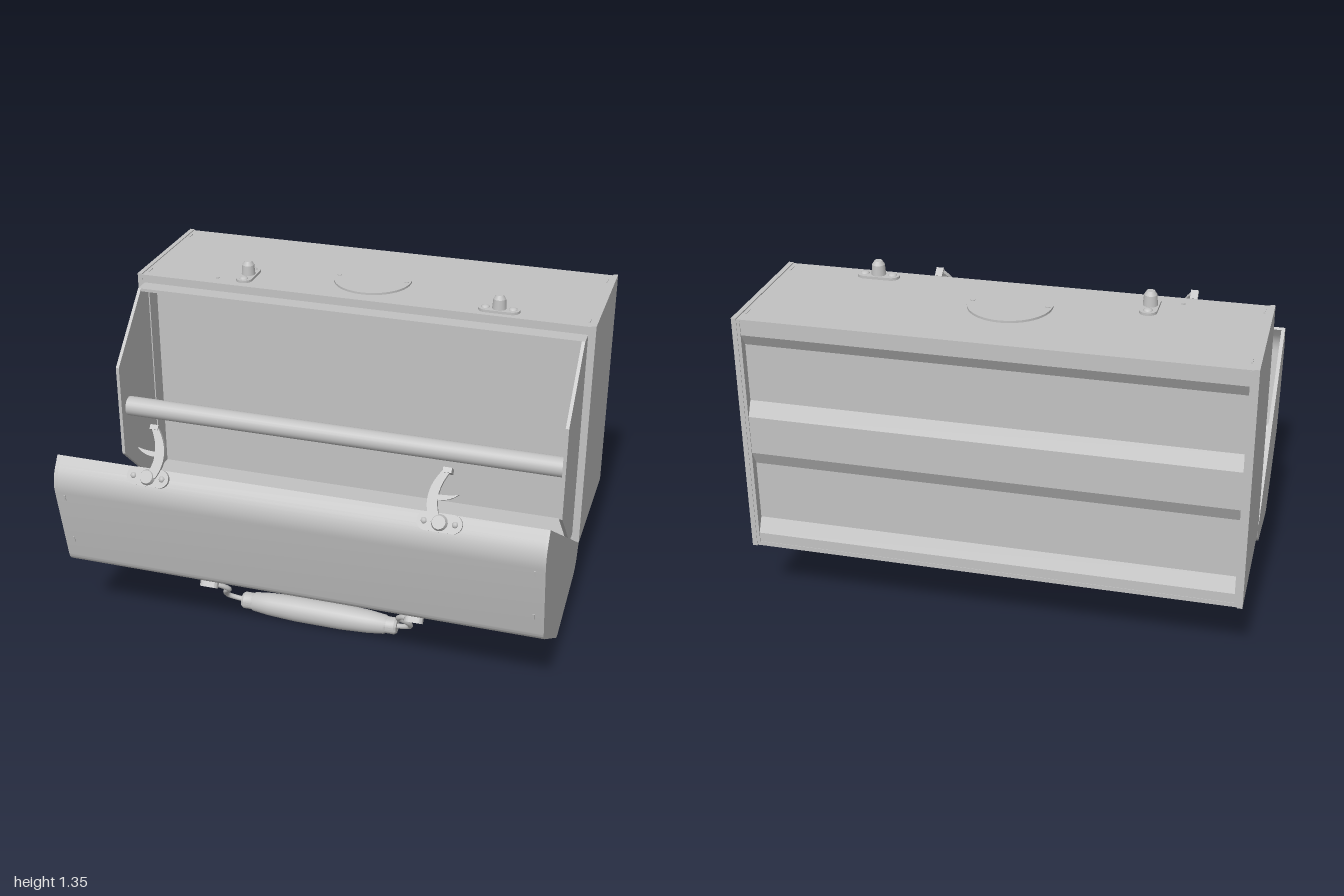
import * as THREE from 'three';
import { toCreasedNormals } from 'three/addons/utils/BufferGeometryUtils.js';

const steel = new THREE.MeshStandardMaterial({ color: 0xc2c2c2 });
steel.name = 'grey steel';

function add(parent, name, geo, x = 0, y = 0, z = 0) {
  const m = new THREE.Mesh(geo, steel);
  m.name = name;
  m.position.set(x, y, z);
  parent.add(m);
  return m;
}

// axis-aligned plate given by its extents
function plate(parent, name, [x0, x1], [y0, y1], [z0, z1]) {
  return add(parent, name, new THREE.BoxGeometry(x1 - x0, y1 - y0, z1 - z0),
    (x0 + x1) / 2, (y0 + y1) / 2, (z0 + z1) / 2);
}

// profile of [z, y] points extruded along x
function extrudeX(pts, x0, x1) {
  const shape = new THREE.Shape(pts.map(([z, y]) => new THREE.Vector2(-z, y)));
  const geo = new THREE.ExtrudeGeometry(shape, { depth: x1 - x0, bevelEnabled: false });
  geo.rotateY(Math.PI / 2).translate(x0, 0, 0);
  return toCreasedNormals(geo, 0.3);
}

// rectangular frame in the xy plane
function frame(w, y0, y1, t, depth) {
  const rect = (a, b, c) => [[-a, b], [a, b], [a, c], [-a, c]].map(p => new THREE.Vector2(...p));
  const shape = new THREE.Shape(rect(w, y0, y1));
  shape.holes.push(new THREE.Path(rect(w - t, y0 + t, y1 - t).reverse()));
  return new THREE.ExtrudeGeometry(shape, { depth, bevelEnabled: false });
}

// round-ended plate in the xy plane, long along x
function stadium(length, r, depth) {
  const h = length / 2 - r;
  const s = new THREE.Shape();
  s.absarc(h, 0, r, -Math.PI / 2, Math.PI / 2);
  s.absarc(-h, 0, r, Math.PI / 2, Math.PI * 1.5);
  return toCreasedNormals(new THREE.ExtrudeGeometry(s, { depth, bevelEnabled: false, curveSegments: 10 }), 0.6);
}

// open path with its inner corners [z, y, cut] rounded
function roundCorners(pts) {
  return pts.flatMap(([z, y, cut], i) => {
    if (!cut) return [[z, y]];
    const p = new THREE.Vector2(z, y);
    const towards = q => new THREE.Vector2(q[0] - z, q[1] - y).setLength(cut).add(p);
    const curve = new THREE.QuadraticBezierCurve(towards(pts[i - 1]), p, towards(pts[i + 1]));
    return curve.getPoints(7).map(q => [q.x, q.y]);
  });
}

// points of an open path moved sideways by d
function offset(pts, d) {
  return pts.map((p, i) => {
    const a = pts[Math.max(i - 1, 0)], b = pts[Math.min(i + 1, pts.length - 1)];
    const dx = b[0] - a[0], dy = b[1] - a[1], l = Math.hypot(dx, dy);
    return [p[0] - dy / l * d, p[1] + dx / l * d];
  });
}

function makeBody() {
  const g = new THREE.Group();
  g.name = 'body';
  plate(g, 'bodyTop', [-0.98, 0.98], [1.27, 1.286], [-0.757, -0.16]);
  plate(g, 'bodyBottom', [-0.98, 0.98], [0.282, 0.30], [-0.757, -0.16]);
  add(g, 'frontFrame', frame(0.985, 0.283, 1.285, 0.035, 0.012), 0, 0, -0.173);
  plate(g, 'upperLip', [-0.96, 0.96], [1.237, 1.25], [-0.25, -0.09]);
  plate(g, 'lowerLip', [-0.96, 0.96], [0.32, 0.333], [-0.25, -0.09]);
  plate(g, 'innerPanel', [-0.96, 0.96], [0.32, 1.25], [-0.26, -0.25]);

  // back panel with two shallow pressed channels
  const back = [[-0.755, 1.28], [-0.755, 1.22], [-0.725, 1.17], [-0.725, 0.93], [-0.755, 0.87], [-0.755, 0.71],
    [-0.725, 0.65], [-0.725, 0.40], [-0.755, 0.34], [-0.755, 0.29]];
  const inner = back.map(([z, y]) => [z + 0.012, y]).reverse();
  add(g, 'backPanel', extrudeX([...back, ...inner], -0.985, 0.985));

  const cheek = [[-0.25, 0.32], [-0.09, 0.32], [0.18, 0.58], [0.18, 0.99], [-0.09, 1.25], [-0.25, 1.25]];
  for (const s of [-1, 1]) {
    plate(g, 'endPanel', [s * 0.99 - 0.01, s * 0.99 + 0.01], [0.28, 1.29], [-0.76, -0.16]);
    plate(g, 'backRim', [s * 0.975 - 0.008, s * 0.975 + 0.008], [0.29, 1.28], [-0.758, -0.72]);
    add(g, 'cheekPlate', extrudeX(cheek, s * 0.962 - 0.007, s * 0.962 + 0.007));
    for (const z of [-0.68, -0.22])
      plate(g, 'topTab', [s * 0.965 - 0.003, s * 0.965 + 0.003], [1.284, 1.289], [z - 0.02, z + 0.02]);
  }

  // cross bar between the cheek plates
  add(g, 'crossBar', new THREE.CylinderGeometry(0.042, 0.042, 1.92, 24).rotateZ(Math.PI / 2), 0, 0.78, 0.105);

  // round cover and catches on the top
  add(g, 'roundCover', new THREE.CylinderGeometry(0.168, 0.168, 0.01, 48), 0, 1.29, -0.39);
  add(g, 'rivet', new THREE.CylinderGeometry(0.008, 0.008, 0.005, 10), -0.65, 1.288, -0.22);
  for (const x of [-0.15, 0.15])
    add(g, 'coverScrew', new THREE.CylinderGeometry(0.01, 0.01, 0.004, 10), x, 1.296, -0.39);
  for (const [x, z, turn] of [[-0.53, -0.28, Math.PI / 2], [0.59, -0.22, 0]]) {
    const c = new THREE.Group();
    c.name = 'catch';
    c.position.set(x, 1.285, z);
    c.rotation.y = turn;
    add(c, 'catchPlate', stadium(0.175, 0.035, 0.012).rotateX(-Math.PI / 2));
    add(c, 'catchPost', new THREE.CylinderGeometry(0.026, 0.03, 0.045, 14), 0, 0.032, 0);
    add(c, 'catchKnob', new THREE.CylinderGeometry(0.016, 0.026, 0.016, 14), 0, 0.0625, 0);
    for (const s of [-1, 1]) {
      const cap = new THREE.SphereGeometry(0.019, 12, 8, 0, Math.PI * 2, 0, Math.PI / 2).scale(1, 0.6, 1);
      add(c, 'catchScrew', cap, s * 0.058, 0.01, 0);
    }
    g.add(c);
  }
  return g;
}

function makeLatch(s) {
  const g = new THREE.Group();
  g.name = 'latch';
  g.position.set(s * 0.59, 0.805, 0.72);
  g.rotation.x = -0.56;
  add(g, 'latchPlate', stadium(0.175, 0.036, 0.014));
  add(g, 'latchPivot', new THREE.CylinderGeometry(0.026, 0.034, 0.02, 16).rotateX(Math.PI / 2), 0, 0, 0.02);
  for (const k of [-1, 1])
    add(g, 'latchScrew', new THREE.SphereGeometry(0.013, 10, 8), k * 0.06, 0, 0.01);

  // curved hook arm and its finger tab
  const arm = new THREE.Shape();
  arm.moveTo(s * 0.01, 0.0);
  arm.quadraticCurveTo(s * -0.05, 0.09, s * 0.015, 0.195);
  arm.lineTo(s * -0.012, 0.2);
  arm.quadraticCurveTo(s * -0.09, 0.1, s * -0.035, 0.0);
  const tab = new THREE.Shape();
  tab.moveTo(s * -0.045, 0.085);
  tab.quadraticCurveTo(s * 0.02, 0.075, s * 0.058, 0.112);
  tab.quadraticCurveTo(s * 0.01, 0.1, s * -0.04, 0.105);
  for (const [name, shape] of [['hookArm', arm], ['fingerTab', tab]])
    add(g, name, toCreasedNormals(new THREE.ExtrudeGeometry(shape, { depth: 0.016, bevelEnabled: false }), 0.6), 0, 0, 0.008);
  add(g, 'hookTip', new THREE.BoxGeometry(0.034, 0.02, 0.045), s * 0.002, 0.196, 0.006).rotation.x = -0.1;
  return g;
}

function makeLid() {
  const g = new THREE.Group();
  g.name = 'lid';
  const outer = roundCorners([[-0.16, 0.28], [-0.115, 0.182, 0.055], [0.305, 0.095, 0.02], [0.67, 0.33, 0.025],
    [0.752, 0.74, 0.06], [0.69, 0.828]]);
  add(g, 'lidShell', extrudeX([...outer, ...offset(outer, 0.014).reverse()], -0.99, 0.99));
  for (const s of [-1, 1]) {
    add(g, 'lidEnd', extrudeX(outer, s * 0.992 - 0.008, s * 0.992 + 0.008));
    g.add(makeLatch(s));
    // small weld tabs on the lid face
    for (const y of [0.44, 0.66]) {
      const tab = add(g, 'lidTab', new THREE.BoxGeometry(0.008, 0.025, 0.006), s * 0.96, y, 0.67 + (y - 0.33) * 0.2);
      tab.rotation.x = 0.197;
    }
    for (const z of [0.46, 0.51])
      add(g, 'handleScrew', new THREE.SphereGeometry(0.008, 8, 6), s * 0.44, 0.21 + (z - 0.46) * 0.644, z);
  }
  return g;
}

function makeHandle() {
  const g = new THREE.Group();
  g.name = 'handle';
  const profile = [[0, -0.345], [0.03, -0.345], [0.036, -0.335], [0.036, -0.3], [0.041, -0.29], [0.049, -0.22], [0.055, -0.1],
    [0.055, 0.1], [0.049, 0.22], [0.041, 0.29], [0.036, 0.3], [0.036, 0.335], [0.03, 0.345], [0, 0.345]];
  const grip = new THREE.LatheGeometry(profile.map(p => new THREE.Vector2(...p)), 24);
  add(g, 'grip', toCreasedNormals(grip.rotateZ(Math.PI / 2), 0.5), -0.005, 0.059, 0.37);
  for (const s of [-1, 1]) {
    const path = new THREE.CatmullRomCurve3([[0.44, 0.205, 0.505], [0.4, 0.195, 0.49], [0.372, 0.165, 0.462],
      [0.405, 0.12, 0.42], [0.405, 0.085, 0.39], [0.37, 0.066, 0.373], [0.32, 0.06, 0.37]]
      .map(([x, y, z]) => new THREE.Vector3(s * x - 0.005, y, z)));
    add(g, 'handleArm', new THREE.TubeGeometry(path, 40, 0.011, 10));
    const foot = add(g, 'handleFoot', stadium(0.08, 0.022, 0.03).rotateX(Math.PI / 2), s * 0.445, 0.22, 0.5);
    foot.rotation.x = -0.58;
  }
  return g;
}

// hinge joining body floor and lid edge
function makeHinge(x) {
  const g = new THREE.Group();
  g.name = 'hinge';
  g.position.set(x, 0.276, -0.16);
  add(g, 'hingePin', new THREE.CylinderGeometry(0.011, 0.011, 0.2, 12).rotateZ(Math.PI / 2), 0, -0.004, 0);
  add(g, 'bodyLeaf', new THREE.BoxGeometry(0.2, 0.007, 0.07), 0, 0.002, -0.035);
  add(g, 'lidLeaf', new THREE.BoxGeometry(0.2, 0.007, 0.07), 0, -0.034, 0.012).rotation.x = 1.14;
  for (const k of [-0.06, 0, 0.06]) {
    add(g, 'hingeScrew', new THREE.SphereGeometry(0.01, 10, 6), k, -0.002, -0.045);
    add(g, 'hingeScrew', new THREE.SphereGeometry(0.01, 10, 6), k, -0.044, 0.015);
  }
  return g;
}

export function createModel() {
  const model = new THREE.Group();
  model.name = 'openToolBox';
  model.add(makeBody(), makeLid(), makeHandle(), makeHinge(-0.58), makeHinge(0.58));
  return model;
}
